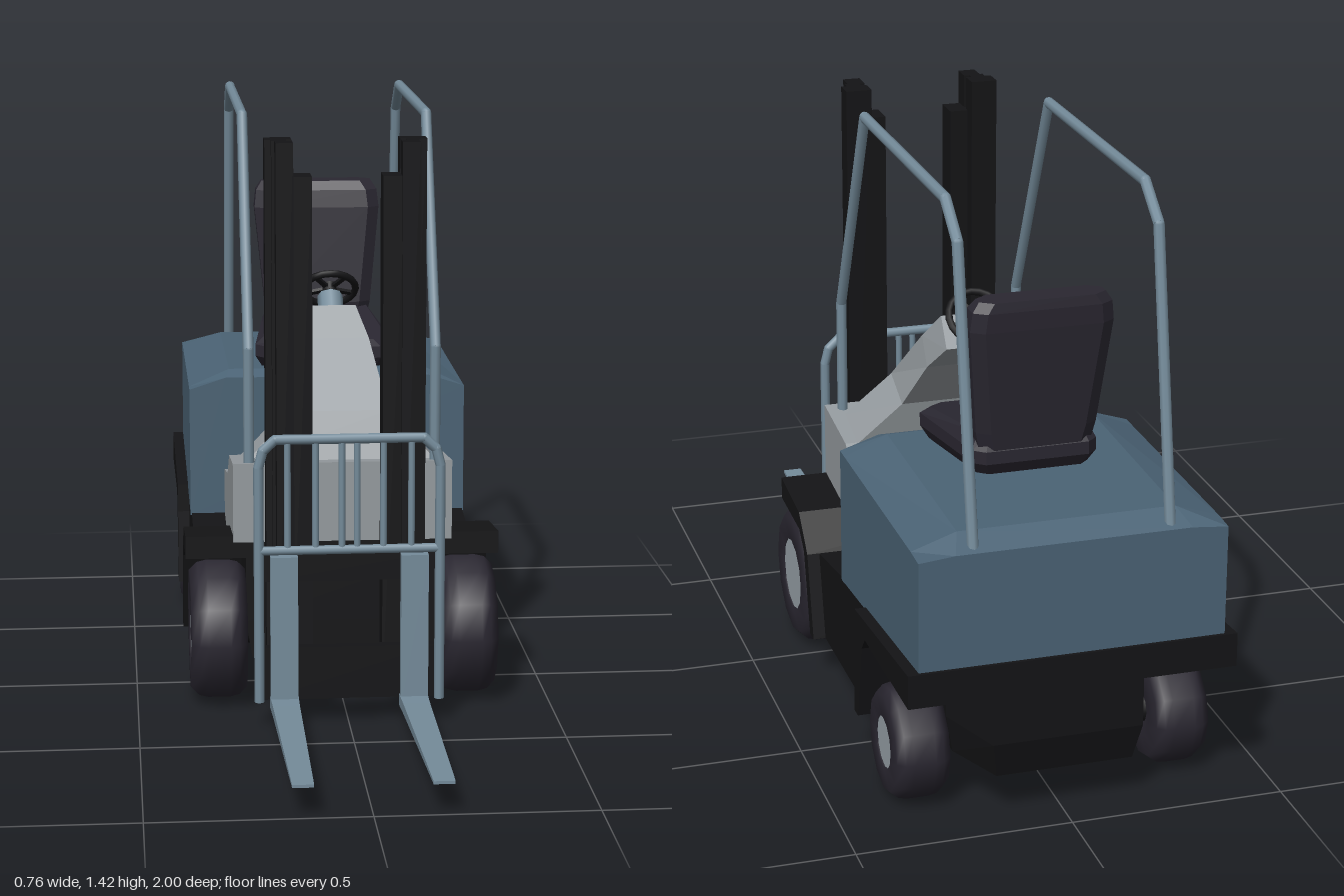
import * as THREE from 'three';

const mat = (color) => new THREE.MeshStandardMaterial({ color });
const flat = (m) => { const c = m.clone(); c.flatShading = true; return c; };
const paint = mat(0x4b6375), steel = mat(0x758c9b), black = mat(0x141416);
const rubber = mat(0x2a2731), grey = mat(0x969ca0), hubGrey = mat(0x9aa4ab);

export function createModel() {
  const root = new THREE.Group();

  const add = (name, geo, material, parent = root) => {
    const m = new THREE.Mesh(geo, material);
    m.name = name;
    parent.add(m);
    return m;
  };

  // box from its limits
  const box = (name, x0, x1, y0, y1, z0, z1, material, parent) => {
    const m = add(name, new THREE.BoxGeometry(Math.abs(x1 - x0), y1 - y0, z1 - z0), material, parent);
    m.position.set((x0 + x1) / 2, (y0 + y1) / 2, (z0 + z1) / 2);
    return m;
  };

  // side profile of [z, y] points extruded between two x limits
  const prism = (name, pts, x0, x1, material) => {
    const shape = new THREE.Shape(pts.map(([z, y]) => new THREE.Vector2(z, y)));
    const geo = new THREE.ExtrudeGeometry(shape, { depth: x1 - x0, bevelEnabled: false });
    geo.rotateY(-Math.PI / 2).translate(x1, 0, 0);
    return add(name, geo, material);
  };

  // faceted solid through rings of equal point count, capped at both ends
  const loft = (name, rings, material, parent) => {
    const tris = [], n = rings[0].length;
    const V = rings.map((r) => r.map((p) => new THREE.Vector3(...p)));
    for (let i = 0; i < V.length - 1; i++) {
      for (let j = 0; j < n; j++) {
        const k = (j + 1) % n;
        tris.push([V[i][j], V[i][k], V[i + 1][k]], [V[i][j], V[i + 1][k], V[i + 1][j]]);
      }
    }
    const first = V[0], last = V[V.length - 1];
    for (let j = 1; j < n - 1; j++) {
      tris.push([first[0], first[j + 1], first[j]], [last[0], last[j], last[j + 1]]);
    }
    // turn the faces outward whichever way the rings run
    const c = first[0];
    const volume = tris.reduce((s, [a, b, d]) =>
      s + a.clone().sub(c).dot(b.clone().sub(c).cross(d.clone().sub(c))), 0);
    const pts = tris.flatMap((t) => (volume < 0 ? [t[0], t[2], t[1]] : t));
    const geo = new THREE.BufferGeometry().setFromPoints(pts);
    geo.computeVertexNormals();
    return add(name, geo, flat(material), parent);
  };

  // jointed round bar through points
  const bar = (name, pts, r, material, parent = root) => {
    const g = new THREE.Group();
    g.name = name;
    parent.add(g);
    const v = pts.map((p) => new THREE.Vector3(...p));
    for (let i = 0; i < v.length - 1; i++) {
      const d = v[i + 1].clone().sub(v[i]);
      const m = add(name + 'Segment', new THREE.CylinderGeometry(r, r, d.length(), 8), material, g);
      m.position.copy(v[i]).addScaledVector(d, 0.5);
      m.quaternion.setFromUnitVectors(new THREE.Vector3(0, 1, 0), d.normalize());
      if (i) add(name + 'Joint', new THREE.SphereGeometry(r, 8, 6), material, g).position.copy(v[i]);
    }
  };

  // chassis: narrow core between the wheels, wide middle, fenders
  const core = (y, w, z) => [[-w, y, 0.16], [w, y, 0.16], [w, y, -0.8], [w - 0.06, y, z], [0.06 - w, y, z], [-w, y, -0.8]];
  loft('chassisCore', [core(0.11, 0.22, -0.94), core(0.2, 0.235, -0.965), core(0.36, 0.235, -0.965)], black);
  prism('chassisMiddle', [[-0.06, 0.33], [-0.1, 0.315], [-0.33, 0.35], [-0.6, 0.375], [-0.6, 0.3],
    [-0.55, 0.11], [-0.13, 0.11]], -0.35, 0.35, black);
  prism('frontFender', [[0.16, 0.415], [-0.02, 0.395], [-0.1, 0.315], [-0.15, 0.11], [-0.115, 0.11],
    [-0.065, 0.31], [-0.02, 0.35], [0.16, 0.36]], -0.38, 0.38, black);
  prism('rearSkirt', [[-0.55, 0.373], [-1, 0.415], [-1, 0.335], [-0.64, 0.335], [-0.61, 0.3], [-0.57, 0.11],
    [-0.54, 0.11], [-0.55, 0.3]], -0.38, 0.38, black);

  // engine cover with sloping upper edges
  const cover = (z, bottom, side, top, w) => [[-0.353, bottom, z], [0.353, bottom, z], [0.353, side, z],
    [w, top, z], [-w, top, z], [-0.353, side, z]];
  loft('engineCover', [cover(-0.33, 0.345, 0.675, 0.705, 0.26), cover(-0.37, 0.35, 0.675, 0.72, 0.25),
    cover(-0.93, 0.4, 0.675, 0.71, 0.25), cover(-0.99, 0.41, 0.672, 0.68, 0.27)], paint);

  // footwell and front cowl
  prism('cowl', [[0.165, 0.4], [0.165, 0.595], [-0.04, 0.57], [-0.14, 0.5], [-0.335, 0.465],
    [-0.335, 0.34], [-0.1, 0.31], [-0.02, 0.39]], -0.265, 0.265, grey);

  // steering console, tapering upward and back
  const console4 = (w0, y0, z0, w1, y1, z1) => [[-w0, y0, z0], [w0, y0, z0], [w1, y1, z1], [-w1, y1, z1]];
  loft('steeringConsole', [console4(0.23, 0.585, 0.11, 0.24, 0.565, -0.045),
    console4(0.12, 0.7, 0.065, 0.13, 0.67, -0.07), console4(0.085, 0.85, -0.09, 0.09, 0.79, -0.15),
    console4(0.058, 0.92, -0.16, 0.065, 0.86, -0.23)], grey);

  // steering wheel
  bar('steeringColumn', [[0, 0.88, -0.185], [0, 0.93, -0.235]], 0.032, steel);
  const wheel = new THREE.Group();
  wheel.name = 'steeringWheel';
  wheel.position.set(0, 0.945, -0.255);
  wheel.rotation.x = -Math.PI * 0.75;
  root.add(wheel);
  add('rim', new THREE.TorusGeometry(0.066, 0.009, 8, 20), black, wheel);
  add('hub', new THREE.CylinderGeometry(0.018, 0.018, 0.024, 10).rotateX(Math.PI / 2), black, wheel);
  for (let i = 0; i < 5; i++) {
    const a = (i * Math.PI * 2) / 5 + Math.PI / 2;
    add('spoke', new THREE.BoxGeometry(0.06, 0.012, 0.008).translate(0.034, 0, 0), black, wheel).rotation.z = a;
  }

  // seat cushion and backrest
  const pad = (s, y, tilt) => [[0.14, -0.36], [0.18, -0.4], [0.145, -0.7], [0.12, -0.725],
    [-0.12, -0.725], [-0.145, -0.7], [-0.18, -0.4], [-0.14, -0.36]]
    .map(([x, z]) => [x * s, y + tilt * (-z - 0.36), -0.54 + (z + 0.54) * s]);
  loft('seatCushion', [pad(0.9, 0.715, 0.06), pad(1, 0.745, 0.06), pad(1, 0.775, 0.06), pad(0.88, 0.79, 0.12)], rubber);
  const back = (y, w, zf, zb) => [[-w + 0.03, y, zf], [w - 0.03, y, zf], [w, y, zf - 0.02], [w, y, zb + 0.02],
    [w - 0.03, y, zb], [-w + 0.03, y, zb], [-w, y, zb + 0.02], [-w, y, zf - 0.02]];
  loft('seatBackrest', [back(0.77, 0.125, -0.66, -0.72), back(0.84, 0.14, -0.65, -0.73),
    back(1.09, 0.165, -0.675, -0.765), back(1.135, 0.16, -0.685, -0.768), back(1.158, 0.145, -0.7, -0.765)], rubber);

  // tyres with inset hubs
  const makeWheel = (name, s, z, r, x0, x1, hubR) => {
    const g = new THREE.Group(), w = x1 - x0, h = w / 2;
    g.name = name;
    g.position.set((s * (x0 + x1)) / 2, r, z);
    g.rotation.z = (-s * Math.PI) / 2;
    root.add(g);
    const profile = [[0, -h + 0.01], [hubR, -h], [r * 0.86, -h], [r * 0.97, -h * 0.72], [r, -h * 0.4],
      [r, h * 0.4], [r * 0.97, h * 0.72], [r * 0.86, h], [hubR, h], [hubR * 0.96, h - 0.012]];
    add('tyre', new THREE.LatheGeometry(profile.map((p) => new THREE.Vector2(...p)), 12), rubber, g);
    add('hubDisc', new THREE.CylinderGeometry(hubR, hubR, 0.02, 12), hubGrey, g).position.y = h - 0.014;
  };

  for (const s of [1, -1]) {
    const side = s > 0 ? 'left' : 'right';
    makeWheel(side + 'FrontWheel', s, 0.11, 0.172, 0.235, 0.37, 0.092);
    makeWheel(side + 'RearWheel', s, -0.755, 0.133, 0.245, 0.37, 0.063);

    // overhead guard
    bar(side + 'GuardRail', [[0.225, 0.58, 0.14], [0.225, 0.87, 0.14], [0.225, 1.405, -0.1], [0.225, 1.405, -0.76],
      [0.225, 1.335, -0.85], [0.225, 0.68, -0.968]].map(([x, y, z]) => [s * x, y, z]), 0.013, steel);

    // mast channels
    box(side + 'OuterMastFlange', s * 0.127, s * 0.19, 0.06, 1.385, 0.2, 0.25, black);
    box(side + 'OuterMastWeb', s * 0.14, s * 0.175, 0.06, 1.385, 0.25, 0.27, black);
    box(side + 'OuterMastFront', s * 0.127, s * 0.168, 0.06, 1.385, 0.265, 0.315, black);
    box(side + 'InnerMastRail', s * 0.083, s * 0.135, 0.06, 1.305, 0.235, 0.305, black);
    box(side + 'MastBracket', s * 0.175, s * 0.205, 0.14, 0.2, 0.15, 0.22, black);
    box(side + 'MastUpperBracket', s * 0.18, s * 0.2, 0.33, 0.38, 0.15, 0.22, black);

    // fork: upright shank and tapering tine
    box(side + 'ForkShank', s * 0.122, s * 0.187, 0.045, 0.415, 0.345, 0.37, steel);
    const tine = (w, y0, y1, z) => [[-w, y0, z], [w, y0, z], [w, y1, z], [-w, y1, z]].map(([x, y, d]) => [x + s * 0.154, y, d]);
    loft(side + 'ForkTine', [tine(0.034, 0.04, 0.068, 0.345), tine(0.032, 0.043, 0.068, 0.42), tine(0.024, 0.07, 0.077, 1)], steel);
  }
  bar('frontAxle', [[-0.25, 0.172, 0.11], [0.25, 0.172, 0.11]], 0.04, black);
  bar('rearAxle', [[-0.26, 0.133, -0.755], [0.26, 0.133, -0.755]], 0.035, black);

  // carriage plates
  box('upperCarriagePlate', -0.205, 0.205, 0.35, 0.415, 0.315, 0.345, black);
  box('lowerCarriagePlate', -0.205, 0.205, 0.06, 0.187, 0.315, 0.345, black);

  // load backrest frame and bars
  const zb = 0.36;
  bar('loadBackrestFrame', [[-0.214, 0.06, zb], [-0.214, 0.63, zb], [-0.204, 0.67, zb], [-0.175, 0.697, zb],
    [0.175, 0.697, zb], [0.204, 0.67, zb], [0.214, 0.63, zb], [0.214, 0.06, zb]], 0.012, steel);
  bar('loadBackrestCrossbar', [[-0.214, 0.43, zb], [0.214, 0.43, zb]], 0.011, steel);
  for (const x of [-0.146, -0.08, -0.018, 0.018, 0.08, 0.146]) {
    bar('loadBackrestBar', [[x, 0.43, zb], [x, 0.697, zb]], 0.008, steel);
  }
  return root;
}
